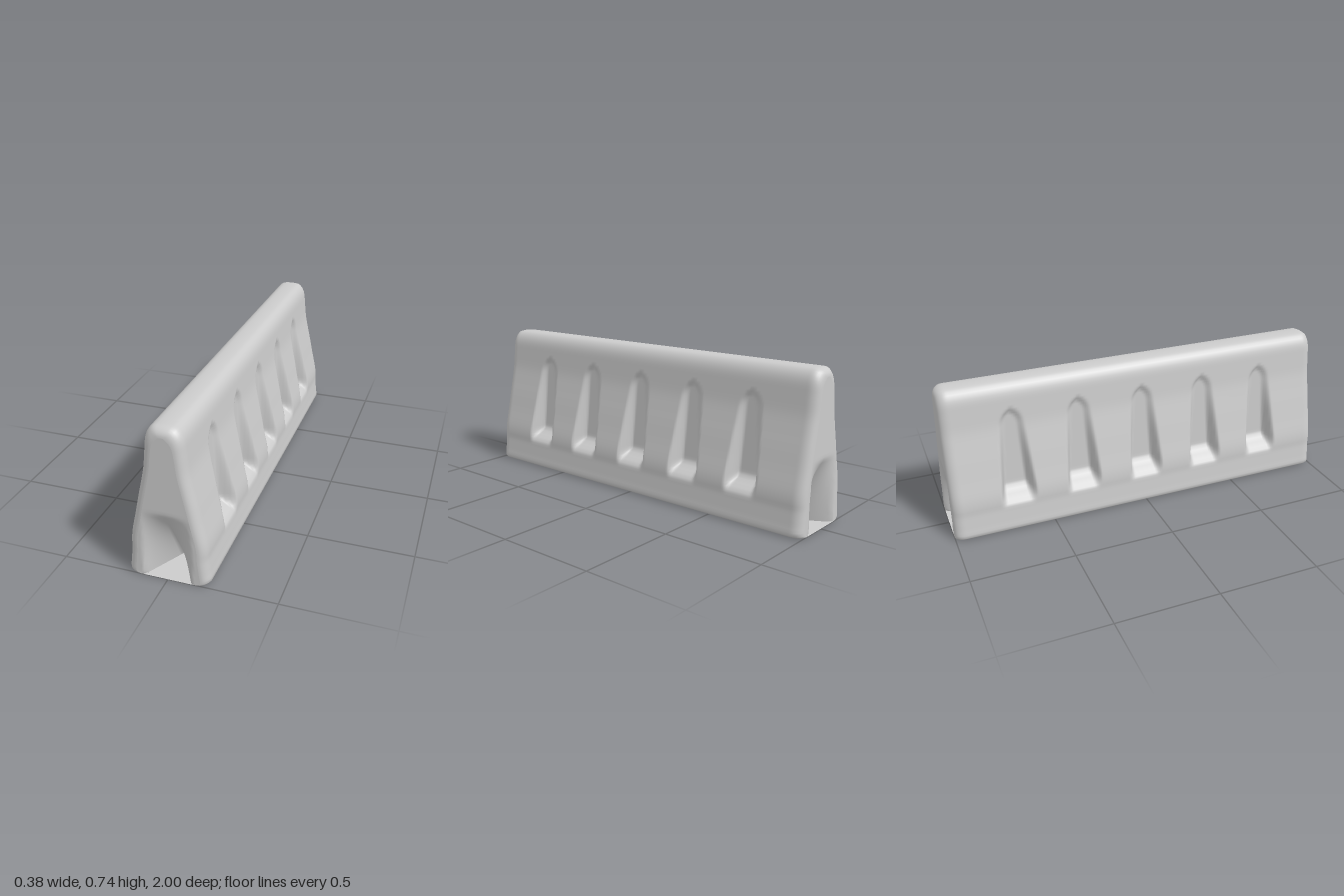
import * as THREE from 'three';

// Surface from a rule: fn(i, j) gives a point; faces look along dj x di
function grid(ni, nj, fn) {
  const pos = [], idx = [];
  for (let i = 0; i <= ni; i++) for (let j = 0; j <= nj; j++) pos.push(...fn(i, j));
  for (let i = 0; i < ni; i++) for (let j = 0; j < nj; j++) {
    const a = i * (nj + 1) + j, b = a + nj + 1;
    idx.push(a, a + 1, b, b, a + 1, b + 1);
  }
  const g = new THREE.BufferGeometry();
  g.setAttribute('position', new THREE.Float32BufferAttribute(pos, 3));
  g.setIndex(idx);
  g.computeVertexNormals();
  return g;
}

const { smoothstep, lerp, clamp } = THREE.MathUtils;

// Half cross-section from the foot up to the ridge
const N = 56;
const profile = new THREE.SplineCurve([
  [0.15, 0], [0.188, 0.008], [0.185, 0.06], [0.178, 0.125], [0.178, 0.16],
  [0.172, 0.21], [0.152, 0.3], [0.133, 0.39], [0.115, 0.47], [0.101, 0.54],
  [0.092, 0.62], [0.085, 0.68], [0.072, 0.715], [0.05, 0.737], [0.025, 0.742], [0, 0.743],
].map(p => new THREE.Vector2(...p))).getSpacedPoints(N);

// How far a point lies inside one of the five tapered flutes (0..1)
function flute(y, z) {
  if (y < 0.13 || y > 0.61) return 0;
  const dz = Math.abs(z - 0.335 * clamp(Math.round(z / 0.335), -2, 2));
  const arch = y > 0.54 ? Math.sqrt(Math.max(0, 1 - ((y - 0.54) / 0.07) ** 2)) : 1;
  const half = lerp(0.092, 0.06, (y - 0.15) / 0.45) * arch;
  return smoothstep(half - dz, 0, 0.035) * smoothstep(y, 0.135, 0.215);
}

// Point of the right or left half of the shell, with rounded ends
function shellPoint(k, z, side) {
  const p = profile[k];
  const a = clamp((Math.abs(z) - 0.95) / 0.05, 0, 1);
  const inset = 0.04 * (1 - Math.sqrt(1 - a * a));
  const floorX = Math.min(p.x, lerp(0.098, 0.078, (p.y - 0.15) / 0.45));
  const x = lerp(p.x, floorX, flute(p.y, z)) - inset * Math.min(1, p.x / 0.06);
  const y = p.y - inset * clamp((p.y - 0.6) / 0.14, 0, 1);
  return [side * Math.max(0, x), y, z];
}

export function createModel() {
  const model = new THREE.Group();
  const material = new THREE.MeshStandardMaterial({ color: 0xcccccc });
  const thin = new THREE.MeshStandardMaterial({ color: 0xcccccc, side: THREE.DoubleSide });
  const add = (name, geometry, mat = material) => {
    const mesh = new THREE.Mesh(geometry, mat);
    mesh.name = name;
    model.add(mesh);
    return mesh;
  };

  // Stations along the length, closer together at the rounded ends
  const stations = [];
  for (let i = 0; i <= 220; i++) stations.push(-0.95 + (1.9 * i) / 220);
  for (let i = 1; i <= 8; i++) {
    const z = 0.95 + 0.05 * Math.sin((i / 8) * Math.PI / 2);
    stations.push(z);
    stations.unshift(-z);
  }
  const M = stations.length - 1;

  // Fluted sides and rounded ridge in one skin
  add('flutedShell', grid(M, 2 * N, (i, j) =>
    j <= N ? shellPoint(j, stations[i], 1) : shellPoint(2 * N - j, stations[i], -1)));

  // Flat underside
  add('underside', grid(M, 1, (i, j) => shellPoint(0, stations[i], j ? 1 : -1)), thin);

  // End walls, each leaning inward to a shallow pocket above the underside
  const cap = grid(N, 24, (i, j) => {
    const [w, y] = shellPoint(i, 1, 1);
    const x = w * (j / 12 - 1);
    const pocket = 0.2 * clamp(1 - y / 0.33, 0, 1) * clamp(1 - Math.abs(x) / 0.11, 0, 1);
    return [x, y, 1 - pocket];
  });
  add('frontEnd', cap);
  add('backEnd', cap).rotation.y = Math.PI;

  return model;
}
